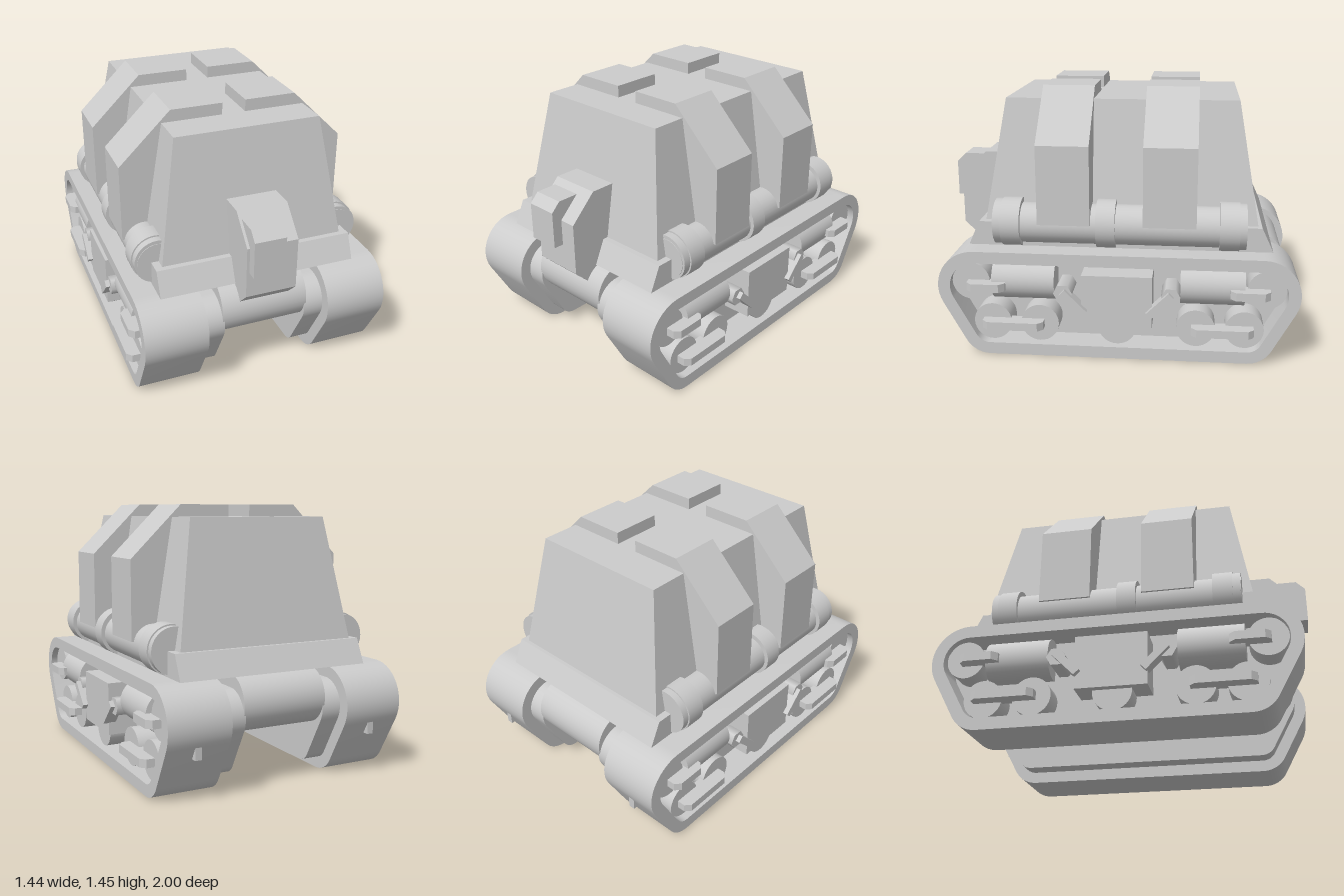
import * as THREE from 'three';
import { toCreasedNormals } from 'three/addons/utils/BufferGeometryUtils.js';

const material = new THREE.MeshStandardMaterial({ color: 0xcccccc });
const MID = -0.022; // middle of the tracks along z

// points of an arc, angles in degrees
function arc(cx, cy, r, from, to, n) {
  return Array.from({ length: n + 1 }, (_, i) => {
    const a = THREE.MathUtils.degToRad(from + (to - from) * i / n);
    return [cx + r * Math.cos(a), cy + r * Math.sin(a)];
  });
}

// track outline as [z, y], shrunk inward by d
function trackOutline(d) {
  const half = [
    ...arc(0.775, 0.39, 0.2 - d, 90, -29, 14),
    ...arc(0.7, 0.15, 0.15 - d, -29, -90, 8),
  ];
  const back = half.map(([z, y]) => [-z, y]).reverse();
  return [...half, ...back].map(([z, y]) => [z + MID, y]);
}

export function createModel() {
  const model = new THREE.Group();

  function add(name, geometry, x = 0, y = 0, z = 0) {
    const mesh = new THREE.Mesh(geometry, material);
    mesh.name = name;
    mesh.position.set(x, y, z);
    model.add(mesh);
    return mesh;
  }
  const toVectors = (pts, sx = 1) => pts.map(([a, b]) => new THREE.Vector2(sx * a, b));

  // solid with a [z, y] profile running from x0 to x1
  function acrossX(name, pts, x0, x1, hole) {
    const shape = new THREE.Shape(toVectors(pts, -1));
    if (hole) shape.holes.push(new THREE.Path(toVectors(hole, -1)));
    const g = new THREE.ExtrudeGeometry(shape, { depth: Math.abs(x1 - x0), bevelEnabled: false });
    g.rotateY(Math.PI / 2).translate(Math.min(x0, x1), 0, 0);
    return add(name, toCreasedNormals(g, 0.45));
  }
  const cylinderZ = (name, r, z0, z1, x, y) =>
    add(name, new THREE.CylinderGeometry(r, r, Math.abs(z1 - z0), 32).rotateX(Math.PI / 2), x, y, (z0 + z1) / 2);
  const cylinderX = (name, r, x0, x1, y, z, sides = 32) =>
    add(name, new THREE.CylinderGeometry(r, r, Math.abs(x1 - x0), sides).rotateZ(Math.PI / 2), (x0 + x1) / 2, y, z);

  // chassis with rounded ends, and the deck over it
  acrossX('chassis', [
    ...arc(0.735, 0.447, 0.152, 90, -90, 16),
    ...arc(-0.785, 0.447, 0.152, 270, 90, 16),
  ], -0.24, 0.24);
  acrossX('deck', [[0.805, 0.59], [0.745, 0.722], [-0.79, 0.722], [-0.852, 0.59]], -0.55, 0.55);

  // tapered cabin
  const cabin = new THREE.BoxGeometry(2, 2, 2);
  const p = cabin.attributes.position;
  for (let i = 0; i < p.count; i++) {
    const top = p.getY(i) > 0;
    const front = p.getZ(i) > 0;
    p.setXYZ(i, p.getX(i) * (top ? 0.4 : 0.51), top ? 1.38 : 0.72,
      front ? (top ? 0.605 : 0.715) : (top ? -0.655 : -0.77));
  }
  cabin.computeVertexNormals();
  add('cabin', cabin);

  // front housing with a small offset box
  acrossX('frontHousing', [
    [0.66, 1.022], [0.8, 1.022], [0.945, 0.88], [0.945, 0.595], [0.85, 0.5], [0.66, 0.5],
  ], -0.14, 0.14);
  acrossX('frontBox', [
    [0.8, 0.99], [0.95, 0.99], [1, 0.94], [1, 0.738], [0.8, 0.738],
  ], -0.125, 0.048);

  for (const s of [1, -1]) {
    // armour bands folded over the cabin roof and side
    for (const z of [0.125, -0.44]) {
      const shape = new THREE.Shape(toVectors([
        [0.065, 1.36], [0.065, 1.445], [0.35, 1.445], [0.635, 1.165],
        [0.635, 0.735], [0.35, 0.735], [0.35, 1.36],
      ], s));
      add('armourBand', new THREE.ExtrudeGeometry(shape, { depth: 0.283, bevelEnabled: false }), 0, 0, z);
    }

    // side pipe with collars
    cylinderZ('sidePipe', 0.11, 0.655, -0.705, s * 0.515, 0.715);
    for (const [z0, z1] of [[0.505, 0.61], [-0.008, 0.095], [-0.668, -0.562]])
      cylinderZ('pipeCollar', 0.132, z0, z1, s * 0.515, 0.72);
    for (const [z0, z1] of [[0.61, 0.652], [-0.668, -0.705]])
      cylinderZ('pipeEnd', 0.124, z0, z1, s * 0.515, 0.72);

    // track band and the housing filling it
    acrossX('trackBand', trackOutline(0), s * 0.34, s * 0.683, trackOutline(0.066));
    acrossX('trackHousing', trackOutline(0.064), s * 0.23, s * 0.52);

    // running gear in the open outer side
    cylinderX('middleRoadWheel', 0.104, s * 0.5, s * 0.645, 0.175, MID);
    const gearBox = add('gearBox', new THREE.BoxGeometry(0.19, 0.29, 0.381), s * 0.59, 0.33, MID);
    gearBox.castShadow = true;

    for (const e of [1, -1]) {
      const z = (d) => MID + e * d;
      cylinderX('endWheel', 0.104, s * 0.5, s * 0.645, 0.41, z(0.8));
      for (const d of [0.687, 0.425])
        cylinderX('roadWheel', 0.104, s * 0.5, s * 0.645, 0.178, z(d));
      cylinderZ('damper', 0.112, z(0.34), z(0.683), s * 0.56, 0.408);

      // bars with bevelled ends linking the wheels
      for (const [a, b, y] of [[0.605, 0.815, 0.395], [0.4, 0.735, 0.178]]) {
        const bar = new THREE.Shape([
          [a, -0.62], [a, -0.69], [a + 0.03, -0.718], [b - 0.03, -0.718], [b, -0.69], [b, -0.62],
        ].map(([d, x]) => new THREE.Vector2(-s * x, -z(d))));
        const g = new THREE.ExtrudeGeometry(bar, { depth: 0.045, bevelEnabled: false });
        g.rotateX(-Math.PI / 2);
        add('wheelBar', g, 0, y - 0.022, 0);
      }

      // hexagonal pivot with a slanted arm
      cylinderX('armPivot', 0.052, s * 0.5, s * 0.69, 0.37, z(0.29), 6);
      const arm = add('slantedArm', new THREE.BoxGeometry(0.07, 0.04, 0.17), s * 0.68, 0.325, z(0.232));
      arm.rotation.x = -e * Math.PI / 4;
    }

    // small wedge on the rear of the track
    acrossX('rearWedge', [[-0.93, 0.37], [-0.973, 0.37], [-0.973, 0.232], [-0.9, 0.232]],
      s * 0.495, s * 0.53);
  }
  return model;
}
